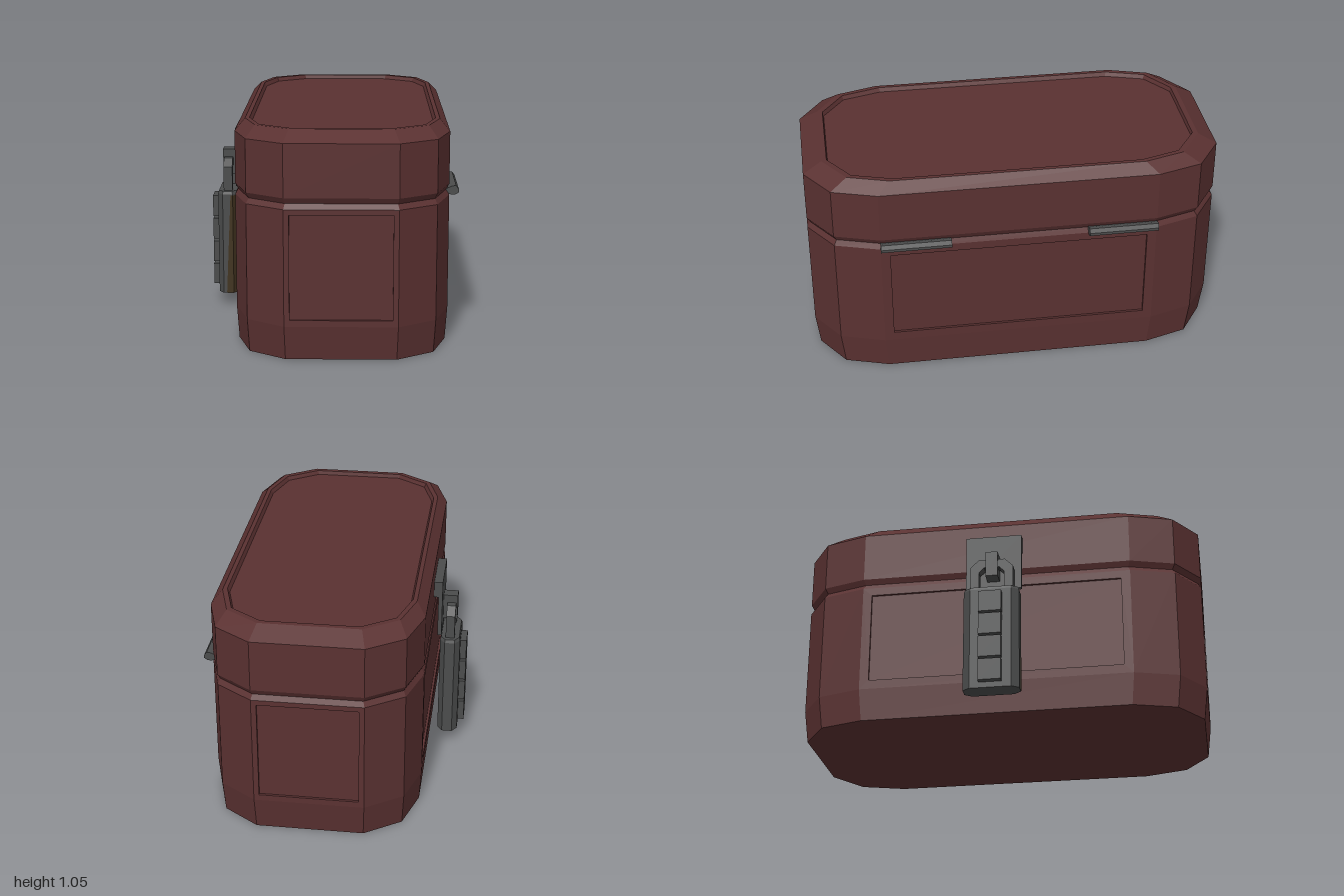
import * as THREE from 'three';

const flat = (name, color) => {
  const m = new THREE.MeshStandardMaterial({ color, flatShading: true });
  m.name = name;
  return m;
};

// Flat quads and fans collected into one geometry
class Faces {
  constructor() { this.p = []; }
  fan(...c) {
    for (let i = 1; i < c.length - 1; i++)
      for (const v of [c[0], c[i], c[i + 1]]) this.p.push(...v);
  }
  geometry() {
    const g = new THREE.BufferGeometry();
    g.setAttribute('position', new THREE.Float32BufferAttribute(this.p, 3));
    g.computeVertexNormals();
    return g;
  }
}

// Stacks scaled copies [y, scaleX, scaleZ] of an outline [x, z]; special(edge, level, corners) may replace a quad
function loft(outline, rings, special) {
  const f = new Faces(), n = outline.length;
  const r = rings.map(([y, sx, sz = sx]) => outline.map(([x, z]) => [x * sx, y, z * sz]));
  for (let k = 0; k < r.length - 1; k++)
    for (let i = 0; i < n; i++) {
      const j = (i + 1) % n, c = [r[k][i], r[k][j], r[k + 1][j], r[k + 1][i]];
      if (!(special && special(f, i, k, c))) f.fan(...c);
    }
  f.fan(...[...r[0]].reverse());
  f.fan(...r[r.length - 1]);
  return f.geometry();
}

// Twelve-sided outline mirrored from three corner points
function outline12(a, b, c) {
  const q = [a, b, c];
  const m = (sx, sz, l) => l.map(([x, z]) => [x * sx, z * sz]);
  const rev = [...q].reverse();
  return [...m(1, 1, q), ...m(1, -1, rev), ...m(-1, -1, q), ...m(-1, 1, rev)];
}

// Wall with a recessed panel
function panelWall(f, o, marginU, y0, y1, depth) {
  const v = o.map(p => new THREE.Vector3(...p));
  const u = v[1].clone().sub(v[0]).normalize();
  const inward = new THREE.Vector3(0, 1, 0).cross(u); // turned to face the centre below
  if (inward.dot(v[0]) > 0) inward.negate();
  const inner = [[0, 1, y0], [1, -1, y0], [2, -1, y1], [3, 1, y1]].map(([i, s, y]) => {
    const p = v[i].clone().addScaledVector(u, s * marginU);
    p.y = y;
    return p;
  });
  const I = inner.map(p => p.toArray());
  const R = inner.map(p => p.clone().addScaledVector(inward, depth).toArray());
  for (let k = 0; k < 4; k++) {
    const l = (k + 1) % 4;
    f.fan(o[k], o[l], I[l], I[k]);
    f.fan(I[k], I[l], R[l], R[k]);
  }
  f.fan(...R);
}

export function createModel() {
  const group = new THREE.Group();
  const maroon = flat('maroon case', 0x5a3131);
  const steel = flat('dark steel', 0x4b4c4c);
  const brass = flat('dull brass', 0x41331f);

  const add = (name, geo, mat, x = 0, y = 0, z = 0) => {
    const mesh = new THREE.Mesh(geo, mat);
    mesh.name = name;
    mesh.position.set(x, y, z);
    group.add(mesh);
    return mesh;
  };
  const box = (name, x0, x1, y0, y1, halfZ) =>
    add(name, new THREE.BoxGeometry(x1 - x0, y1 - y0, halfZ * 2), steel, (x0 + x1) / 2, (y0 + y1) / 2, 0);

  // Case: lower body with four recessed panels
  const plan = outline12([0.26, 1], [0.435, 0.88], [0.5, 0.665]);
  const cx = 0.06;
  add('caseBody', loft(plan, [[0, 0.98], [0.16, 1], [0.705, 1], [0.73, 0.974, 0.985]], (f, i, k, c) => {
    if (k !== 1) return false;
    if (i === 5 || i === 11) panelWall(f, c, 0.025, 0.19, 0.68, 0.012);
    else if (i === 2 || i === 8) panelWall(f, c, 0.045, 0.205, 0.665, 0.012);
    else return false;
    return true;
  }), maroon, cx);

  // Lid with chamfered rim and sunken top
  add('lid', loft(plan, [[0.73, 0.974, 0.985], [0.757, 1], [1.005, 1], [1.055, 0.91],
    [1.055, 0.87, 0.885], [1.035, 0.85, 0.88]]), maroon, cx);

  // Two hinges on the +x side
  const hinge = new THREE.Shape([[0.545, 0.712], [0.572, 0.704], [0.59, 0.706], [0.605, 0.716], [0.605, 0.73],
    [0.592, 0.748], [0.575, 0.746], [0.545, 0.733]].map(p => new THREE.Vector2(...p)));
  for (const z of [-0.665, 0.33])
    add('hinge', new THREE.ExtrudeGeometry(hinge, { depth: 0.335, bevelEnabled: false }), steel, 0, 0, z);

  // Hasp hanging from the lid, with its staple
  box('haspMount', -0.475, -0.435, 0.84, 0.922, 0.137);
  box('haspPlate', -0.482, -0.462, 0.63, 0.922, 0.137);
  const staple = new THREE.Shape([[-0.47, 0.67], [-0.553, 0.67], [-0.553, 0.8], [-0.47, 0.8]]
    .map(p => new THREE.Vector2(...p)));
  add('staple', new THREE.ExtrudeGeometry(staple, { depth: 0.06, bevelEnabled: false }), steel, 0, 0, -0.03);

  // Padlock body
  const lockPlan = [[-0.025, 0.135], [0.025, 0.135], [0.05, 0.1], [0.05, -0.1],
    [0.025, -0.135], [-0.025, -0.135], [-0.05, -0.1], [-0.05, 0.1]];
  add('padlockBody', loft(lockPlan, [[0.07, 1], [0.585, 1], [0.6, 0.9, 0.95]]), steel, -0.525);

  // Worn brass face on the inner front edge of the padlock
  const worn = new Faces();
  const path = [[0.003, 0.137], [0.026, 0.137], [0.052, 0.1], [0.052, -0.1]];
  for (let i = 0; i < path.length - 1; i++) {
    const [a, b] = [path[i], path[i + 1]];
    worn.fan([a[0] - (i ? 0 : 0.012), 0.072, a[1]], [b[0], 0.072, b[1]],
      [b[0], 0.58, b[1]], [a[0] + (i ? 0 : 0.012), 0.58, a[1]]);
  }
  add('padlockWornFace', worn.geometry(), brass, -0.525);

  // Shackle: squared arch with cut corners
  const arch = (w, top, cut) => [[-w, 0.58], [w, 0.58], [w, top - cut], [w - cut, top], [cut - w, top], [-w, top - cut]];
  const outer = arch(0.105, 0.76, 0.04), inner = arch(0.062, 0.718, 0.025);
  const loop = [outer[1], outer[2], outer[3], outer[4], outer[5], outer[0],
    inner[0], inner[5], inner[4], inner[3], inner[2], inner[1]];
  const shackle = new THREE.ExtrudeGeometry(new THREE.Shape(loop.map(p => new THREE.Vector2(...p))),
    { depth: 0.044, bevelEnabled: false });
  shackle.rotateY(Math.PI / 2);
  add('shackle', shackle, steel, -0.546);

  // Four number dials
  for (let i = 0; i < 4; i++) {
    const y = 0.098 + i * 0.119;
    box('dial', -0.606, -0.57, y, y + 0.107, 0.055);
  }
  return group;
}
